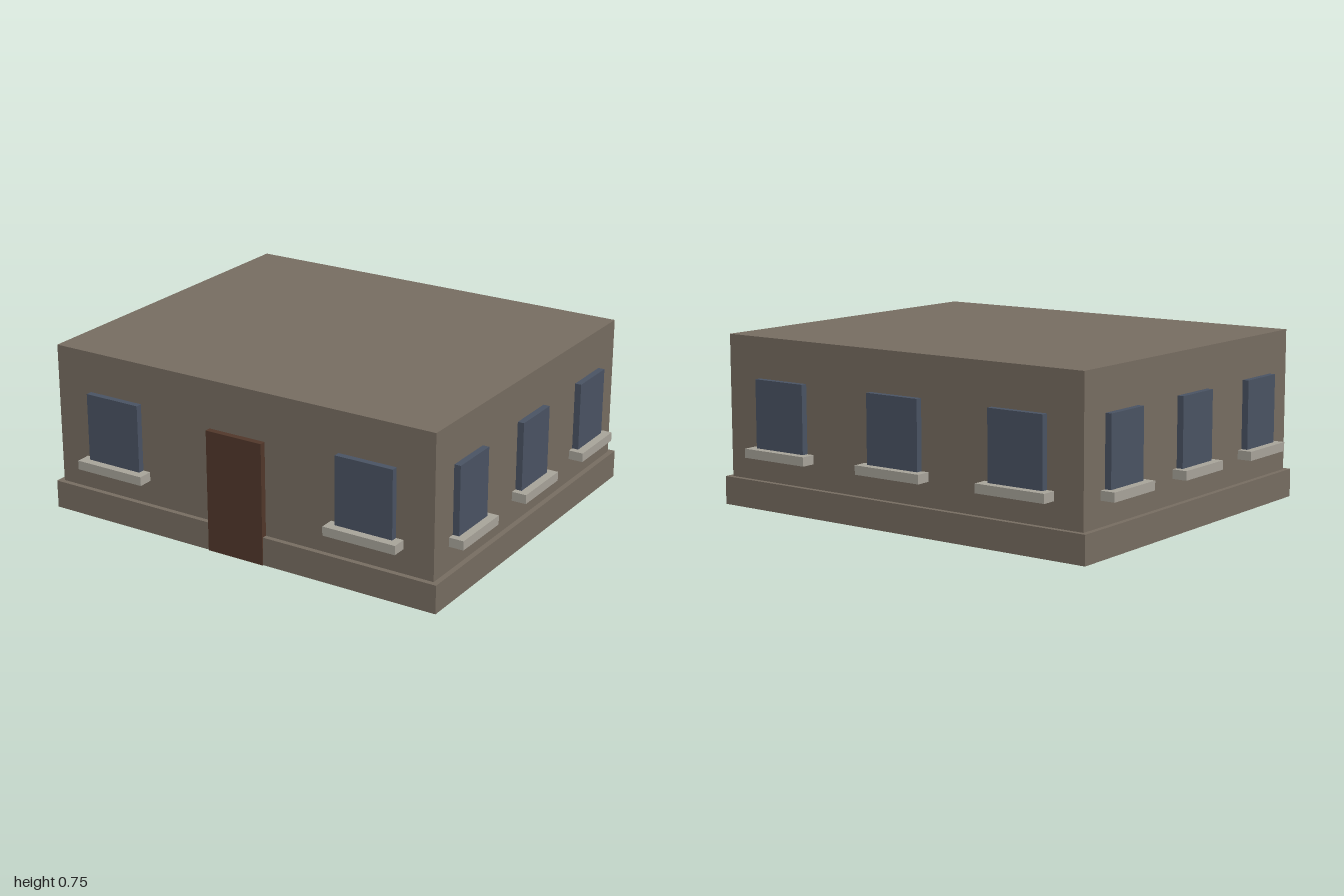
import * as THREE from 'three';

const mat = (name, color) => {
  const m = new THREE.MeshStandardMaterial({ color });
  m.name = name;
  return m;
};

export function createModel() {
  const wall = mat('stucco', 0x786e62);
  const glass = mat('windowBlue', 0x4b5464);
  const stone = mat('sillStone', 0xaaa69c);
  const wood = mat('doorBrown', 0x52382b);

  const house = new THREE.Group();
  house.name = 'house';

  // Box given by its size, its bottom height and its centre in plan
  const box = (parent, name, material, w, h, d, x, y, z) => {
    const mesh = new THREE.Mesh(new THREE.BoxGeometry(w, h, d), material);
    mesh.name = name;
    mesh.position.set(x, y + h / 2, z);
    parent.add(mesh);
  };

  // Plinth and flat-roofed body
  const halfX = 0.934, halfZ = 0.789, plinthTop = 0.125;
  box(house, 'plinth', wall, 1.916, plinthTop, 1.624, 0, 0, 0);
  box(house, 'body', wall, 2 * halfX, 0.755 - plinthTop, 2 * halfZ, 0, plinthTop, 0);

  // Door, running from the ground past the plinth
  box(house, 'door', wood, 0.274, 0.542, 0.03, 0, 0, halfZ + 0.013);

  // Windows with projecting sills; each facade is built facing +z, then turned
  const facade = (name, angle, distance, centres, width) => {
    const side = new THREE.Group();
    side.name = name;
    side.rotation.y = angle;
    for (const x of centres) {
      box(side, 'window', glass, width, 0.303, 0.03, x, 0.271, distance + 0.014);
      box(side, 'sill', stone, width + 0.07 * width / 0.268, 0.04, 0.068, x, 0.232, distance + 0.032);
    }
    house.add(side);
  };
  facade('frontWindows', 0, halfZ, [-0.626, 0.626], 0.268);
  facade('backWindows', Math.PI, halfZ, [-0.626, 0, 0.626], 0.268);
  for (const s of [-1, 1]) {
    facade(s > 0 ? 'leftWindows' : 'rightWindows', s * Math.PI / 2, halfX, [-0.528, 0, 0.528], 0.231);
  }

  return house;
}
